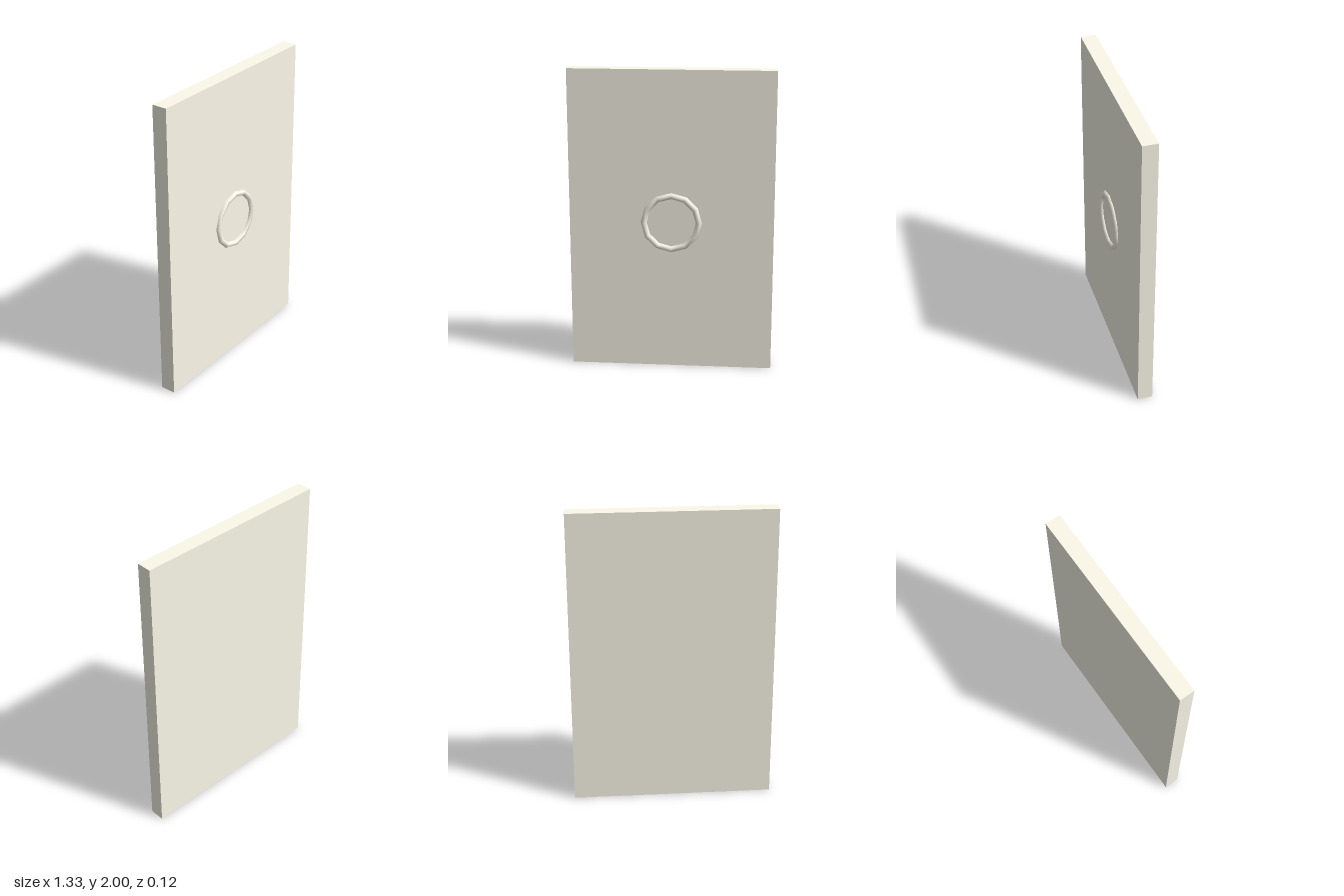
import * as THREE from 'three';

export function createModel() {
  const group = new THREE.Group();
  const material = new THREE.MeshStandardMaterial({ color: 0xfdfaeb });

  // Flat upright slab
  const panel = new THREE.Mesh(new THREE.BoxGeometry(1.333, 2, 0.1), material);
  panel.name = 'panel';
  panel.position.set(0, 1, -0.0087);
  group.add(panel);

  // Twelve-sided ring with a six-sided section, half sunk into the front face
  const ring = new THREE.Mesh(new THREE.TorusGeometry(0.18, 0.02, 6, 12), material);
  ring.name = 'frontRing';
  ring.position.set(0, 1, 0.0413);
  group.add(ring);

  return group;
}
